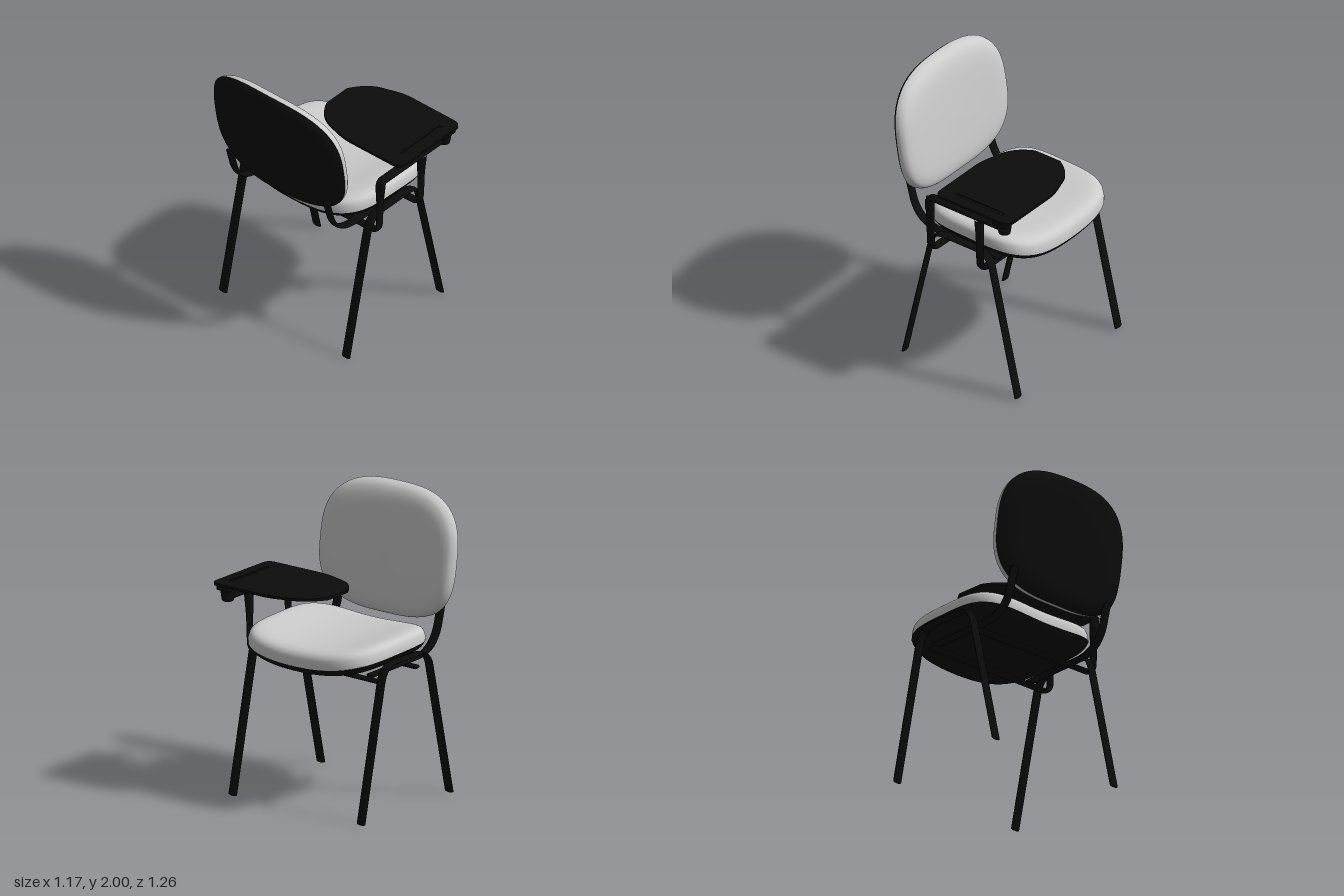
import * as THREE from 'three';
import { mergeVertices } from 'three/addons/utils/BufferGeometryUtils.js';
import { RoundedBoxGeometry } from 'three/addons/geometries/RoundedBoxGeometry.js';

const grey = new THREE.MeshStandardMaterial({ color: 0xcccccc });
const black = new THREE.MeshStandardMaterial({ color: 0x0c0c0c });
const MID_Z = -0.063; // centre line of the seat and back

function mesh(name, geometry, material) {
  const m = new THREE.Mesh(geometry, material);
  m.name = name;
  return m;
}

// Moves every vertex by a rule, then rebuilds smooth normals
function reshape(geometry, rule) {
  geometry.deleteAttribute('uv');
  geometry.deleteAttribute('normal');
  const g = mergeVertices(geometry, 1e-5);
  const p = g.attributes.position;
  const v = new THREE.Vector3();
  for (let i = 0; i < p.count; i++) {
    rule(v.fromBufferAttribute(p, i));
    p.setXYZ(i, v.x, v.y, v.z);
  }
  g.computeVertexNormals();
  return g;
}

// Unit dome from a [radius, height] profile (bottom to top), squared to a superellipse
function dome(profile, power, place) {
  const curve = new THREE.SplineCurve(profile.map(([r, h]) => new THREE.Vector2(r, h)));
  const pts = curve.getPoints(28).map((p) => p.set(Math.min(1, Math.max(0, p.x)), p.y));
  return reshape(new THREE.LatheGeometry(pts, 80), (v) => {
    const r = Math.hypot(v.x, v.z);
    if (r > 1e-6) {
      const k = (Math.abs(v.x / r) ** power + Math.abs(v.z / r) ** power) ** (-1 / power);
      v.x *= k;
      v.z *= k;
    }
    place(v);
  });
}

// Polyline in the xy plane with rounded corners
function roundedPath(points, radius) {
  const p = points.map(([x, y]) => new THREE.Vector3(x, y, 0));
  const path = new THREE.CurvePath();
  let from = p[0];
  for (let i = 1; i < p.length - 1; i++) {
    const a = p[i].clone().add(p[i - 1].clone().sub(p[i]).setLength(radius));
    const b = p[i].clone().add(p[i + 1].clone().sub(p[i]).setLength(radius));
    path.add(new THREE.LineCurve3(from, a));
    path.add(new THREE.QuadraticBezierCurve3(a, p[i], b));
    from = b;
  }
  path.add(new THREE.LineCurve3(from, p[p.length - 1]));
  return path;
}

// Oval tube: round tube on a flat path, widened across the path plane, with rounded ends
function ovalTube(name, points, thickness, width, bend) {
  const group = new THREE.Group();
  group.name = name;
  const r = thickness / 2;
  const s = width / thickness;
  const tube = new THREE.TubeGeometry(roundedPath(points, bend), 90, r, 16).scale(1, 1, s);
  group.add(mesh(name + 'Tube', tube, black));
  for (const [x, y] of [points[0], points[points.length - 1]]) {
    const end = new THREE.SphereGeometry(r, 16, 10).scale(1, 1, s).translate(x, y, 0);
    group.add(mesh(name + 'End', end, black));
  }
  return group;
}

function createSeat() {
  const g = new THREE.Group();
  g.name = 'seat';
  // dished across its width, slightly lower at the front
  const place = (v) => {
    const y = v.y + 0.065 * v.z * v.z - 0.014 * v.x;
    v.set(0.125 + 0.455 * v.x, y, MID_Z + 0.527 * v.z);
  };
  g.add(mesh('seatCushion', dome(
    [[1, 1.015], [0.995, 1.05], [0.97, 1.09], [0.9, 1.117], [0.75, 1.128], [0.4, 1.122], [0, 1.12]],
    3.8, place), grey));
  g.add(mesh('seatShell', dome(
    [[0, 0.95], [0.5, 0.95], [0.8, 0.957], [0.94, 0.975], [1, 1.015]],
    3.8, place), black));
  return g;
}

function createBackrest() {
  const g = new THREE.Group();
  g.name = 'backrest';
  // profile height points forward (+x); leaned back and wrapped around the sitter
  const place = (v) => {
    const up = -v.x * 0.435;
    v.set(-0.488 - 0.155 * up + v.y + 0.05 * v.z * v.z, 1.565 + up, MID_Z + 0.56 * v.z);
  };
  g.add(mesh('backCushion', dome(
    [[1, 0], [0.985, 0.035], [0.93, 0.068], [0.8, 0.09], [0.55, 0.1], [0, 0.105]],
    2.9, place), grey));
  g.add(mesh('backShell', dome(
    [[0, -0.055], [0.5, -0.053], [0.8, -0.047], [0.94, -0.028], [1, 0]],
    2.9, place), black));
  return g;
}

// Writing tablet: two layers, the upper one pierced by a pen groove
function createTablet() {
  const s = new THREE.Shape();
  s.moveTo(0.03, -0.63);
  s.lineTo(0.52, -0.63);
  s.quadraticCurveTo(0.585, -0.63, 0.585, -0.565);
  s.lineTo(0.585, -0.2);
  s.bezierCurveTo(0.585, -0.12, 0.56, -0.06, 0.543, -0.01);
  s.bezierCurveTo(0.52, 0.09, 0.46, 0.14, 0.38, 0.19);
  s.lineTo(0.175, 0.19);
  s.bezierCurveTo(0.09, 0.15, 0.04, 0.1, 0.015, 0.02);
  s.bezierCurveTo(-0.005, -0.05, -0.03, -0.12, -0.03, -0.2);
  s.lineTo(-0.03, -0.57);
  s.quadraticCurveTo(-0.03, -0.63, 0.03, -0.63);
  const layer = (shape, y, depth) => new THREE.ExtrudeGeometry(shape, { depth, bevelEnabled: false, curveSegments: 12 })
    .rotateX(-Math.PI / 2).translate(0, y, 0);
  const g = new THREE.Group();
  g.name = 'tablet';
  g.add(mesh('tabletBase', layer(s, 1.43, 0.012), black));
  const top = s.clone();
  top.holes.push(new THREE.Path([[0.09, -0.555], [0.09, -0.53], [0.48, -0.53], [0.48, -0.555]]
    .map(([x, y]) => new THREE.Vector2(x, y))));
  g.add(mesh('tabletTop', layer(top, 1.442, 0.006), black));
  return g;
}

function createTabletArm() {
  const g = new THREE.Group();
  g.name = 'tabletArm';
  // each post runs under the seat as a crossbar and rises beside it
  for (const x of [-0.13, 0.28]) {
    const post = ovalTube('armPost', [[-0.525, 0.912], [0.535, 0.927], [0.55, 1.335]], 0.028, 0.062, 0.06);
    const tube = post.children[0];
    // flares towards the top
    tube.geometry = reshape(tube.geometry, (v) => {
      const t = THREE.MathUtils.smoothstep(v.y, 1.08, 1.33);
      v.x = 0.548 + (v.x - 0.548) * (1 + 1.2 * t);
    });
    post.rotation.y = -Math.PI / 2; // path x becomes z
    post.position.x = x;
    g.add(post);
  }
  const bar = ovalTube('armBar', [[-0.137, 1.26], [-0.137, 1.347], [0.5, 1.345]], 0.042, 0.068, 0.045);
  bar.position.z = 0.548;
  g.add(bar);
  // pivot that carries the tablet
  const pivot = new THREE.CylinderGeometry(0.052, 0.04, 0.08, 28).translate(0.495, 1.36, 0.555);
  g.add(mesh('pivot', pivot, black));
  const dish = new THREE.SphereGeometry(0.04, 24, 12).scale(1, 0.35, 1).translate(0.495, 1.322, 0.555);
  g.add(mesh('pivotCap', dish, black));
  g.add(mesh('pivotPlate', new RoundedBoxGeometry(0.12, 0.045, 0.105, 2, 0.008).translate(0.49, 1.412, 0.558), black));
  return g;
}

export function createModel() {
  const model = new THREE.Group();
  model.name = 'tabletArmChair';
  model.add(createSeat(), createBackrest(), createTablet(), createTabletArm());

  // one inverted-U leg frame on each side
  for (const z of [0.475, -0.595]) {
    const frame = ovalTube('legFrame',
      [[-0.392, 0.011], [-0.155, 1.037], [0.308, 1.037], [0.545, 0.011]], 0.022, 0.07, 0.11);
    frame.position.z = z;
    model.add(frame);
  }
  // curved bars joining the seat to the back
  for (const side of [1, -1]) {
    const bar = ovalTube('backSupport',
      [[-0.45, 1.26], [-0.37, 0.96], [0.3, 0.95]], 0.028, 0.066, 0.19);
    bar.position.z = MID_Z + side * 0.42;
    model.add(bar);
  }
  return model;
}
